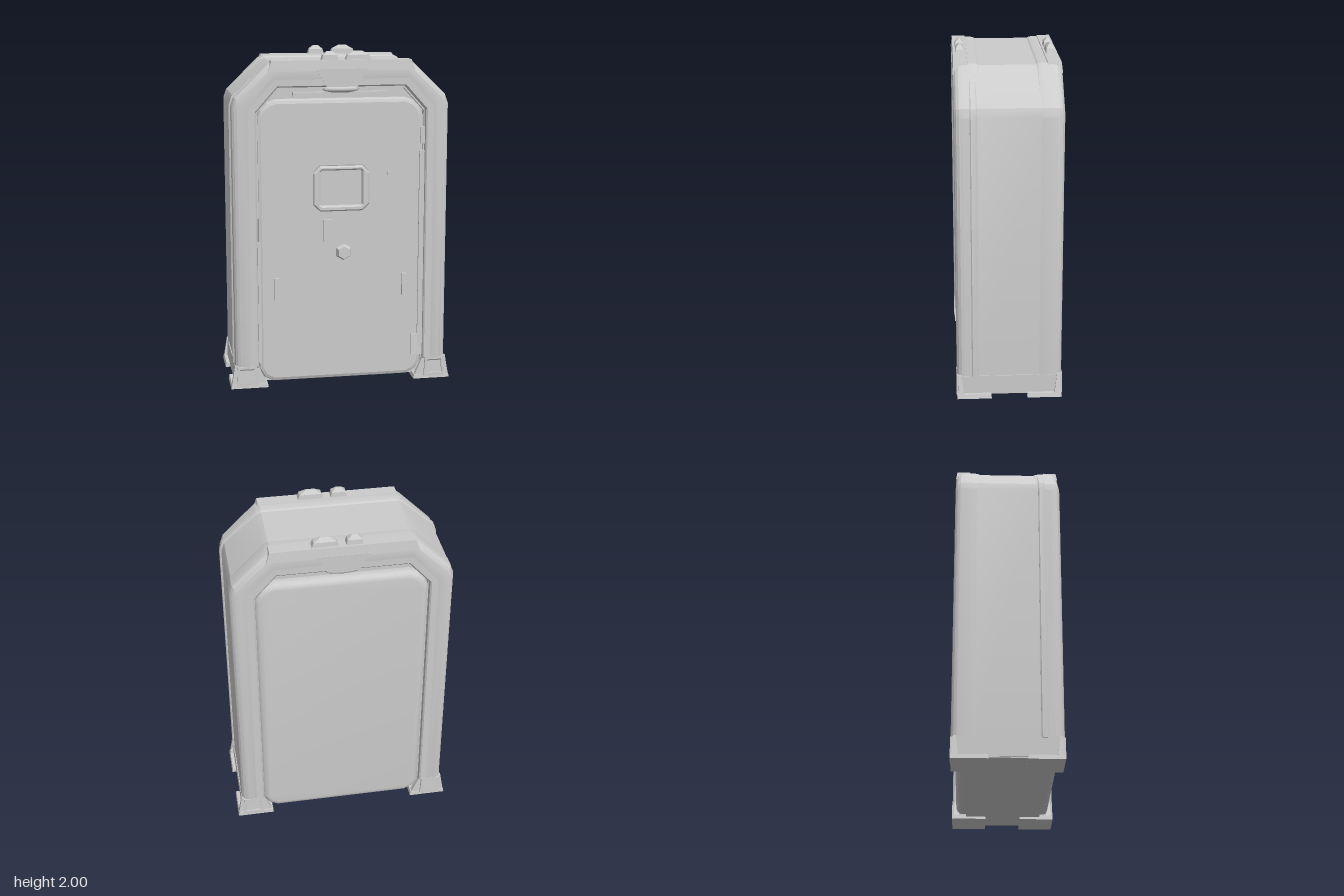
import * as THREE from 'three';
import { toCreasedNormals } from 'three/addons/utils/BufferGeometryUtils.js';

const grey = new THREE.MeshStandardMaterial({ color: 0xcccccc });

function add(parent, name, geometry, x = 0, y = 0, z = 0) {
  const mesh = new THREE.Mesh(geometry, grey);
  mesh.name = name;
  mesh.position.set(x, y, z);
  parent.add(mesh);
  return mesh;
}

const vectors = (pts) => pts.map(([x, y]) => new THREE.Vector2(x, y));

// Shape from an outline with an optional hole.
function toShape(pts, hole) {
  const shape = new THREE.Shape(vectors(pts));
  if (hole) shape.holes.push(new THREE.Path(vectors(hole)));
  return shape;
}

// Mirrors the +x half of an outline (listed bottom to top) into a closed loop.
const mirrored = (half) => [...half, ...half.slice().reverse().map(([x, y]) => [-x, y])];

// Band between two half outlines, open at the bottom.
const band = (outer, inner) => toShape([...mirrored(outer),
  ...inner.map(([x, y]) => [-x, y]), ...inner.slice().reverse()]);

// Rectangle with cut corners.
function cutRect(x0, y0, x1, y1, c) {
  return [[x0 + c, y0], [x1 - c, y0], [x1, y0 + c], [x1, y1 - c],
    [x1 - c, y1], [x0 + c, y1], [x0, y1 - c], [x0, y0 + c]];
}

// Extrudes from z0 to z1 including the bevel, keeping the outline size.
function slab(shape, z0, z1, bevel = 0, segments = 1) {
  const g = new THREE.ExtrudeGeometry(shape, {
    depth: z1 - z0 - 2 * bevel, bevelEnabled: bevel > 0, bevelSize: bevel,
    bevelThickness: bevel, bevelOffset: -bevel, bevelSegments: segments,
  });
  g.translate(0, 0, z0 + bevel);
  return toCreasedNormals(g, 0.35);
}

// Box running from a bottom rectangle to a top one, each [x0, x1, z0, z1].
function taperedBox(bottom, top, y0, y1) {
  const g = new THREE.BoxGeometry(1, 1, 1).toNonIndexed();
  const p = g.attributes.position;
  for (let i = 0; i < p.count; i++) {
    const up = p.getY(i) > 0, r = up ? top : bottom;
    p.setXYZ(i, p.getX(i) < 0 ? r[0] : r[1], up ? y1 : y0, p.getZ(i) < 0 ? r[2] : r[3]);
  }
  g.computeVertexNormals();
  return g;
}

// Outline of the cabinet with sloped shoulders.
const arch = (w, top, y0) => [[w, y0], [w, 1.69], [w - 0.018, 1.74], [0.43, top - 0.015], [0.4, top]];

// Door-sized panel with softened corners.
const panelOutline = (w, y0, y1) => mirrored([[w - 0.085, y0], [w - 0.03, y0 + 0.03], [w, y0 + 0.085],
  [w, y1 - 0.11], [w - 0.02, y1 - 0.06], [w - 0.06, y1 - 0.02], [w - 0.11, y1]]);

// Foot with a flared upright and a framed face.
function createFoot(s) {
  const foot = new THREE.Group();
  foot.name = s > 0 ? 'leftFoot' : 'rightFoot';
  const xs = (a, b) => (s > 0 ? [a, b] : [-b, -a]);
  add(foot, 'footPlate', taperedBox([...xs(0.445, 0.67), 0.105, 0.308], [...xs(0.45, 0.665), 0.107, 0.306], 0, 0.025));
  add(foot, 'footFlare', taperedBox([...xs(0.455, 0.665), 0.265, 0.3], [...xs(0.505, 0.645), 0.28, 0.296], 0.02, 0.138));
  const flip = (pts) => pts.map(([x, y]) => [x * s, y]);
  add(foot, 'footRim', slab(toShape(
    flip([[0.51, 0.015], [0.637, 0.015], [0.63, 0.135], [0.517, 0.135]]),
    flip([[0.525, 0.035], [0.622, 0.035], [0.617, 0.12], [0.53, 0.12]])), 0.28, 0.311));
  return foot;
}

// Frame, header, lamps and feet shared by the front and back.
function createEnd(name) {
  const end = new THREE.Group();
  end.name = name;

  // Arch frame with a broad rounded outer edge
  const inner = [[0.502, 0.125], [0.502, 1.655], [0.375, 1.797]];
  add(end, 'archFrame', slab(band(arch(0.642, 1.945, 0.09),
    [[0.503, 0.09], [0.503, 1.655], [0.375, 1.798]]), 0.14, 0.309, 0.05, 4));

  // Crisp trim and a thin liner along the opening
  add(end, 'frameTrim', slab(band([[0.57, 0.125], [0.57, 1.69], [0.41, 1.865]], inner), 0.2, 0.308, 0.008));
  add(end, 'frameLiner', slab(band([[0.512, 0.12], [0.512, 1.66], [0.385, 1.81]],
    [[0.497, 0.12], [0.497, 1.647], [0.375, 1.782]]), 0.2, 0.262));

  // Header cap and its wedge
  add(end, 'headerCap', taperedBox([-0.43, 0.43, 0.21, 0.31], [-0.41, 0.41, 0.225, 0.303], 1.89, 1.95));
  add(end, 'headerWedge', slab(toShape([[-0.09, 1.797], [0.09, 1.797], [0.15, 1.9], [-0.15, 1.9]]), 0.28, 0.312));

  // Lamp below the header
  const lamp = add(end, 'headerLamp', new THREE.SphereGeometry(1, 12, 6), 0, 1.78, 0.262);
  lamp.scale.set(0.11, 0.022, 0.035);

  // Faceted beacons on top
  for (const [x, w] of [[-0.067, 0.052], [0.1, 0.08]]) {
    const ring = (k, d) => [x - w * k, x + w * k, 0.263 - d, 0.263 + d];
    add(end, 'beaconBase', taperedBox(ring(1, 0.028), ring(0.8, 0.024), 1.935, 1.978));
    add(end, 'beaconCap', taperedBox(ring(0.8, 0.024), ring(0.3, 0.006), 1.978, 2));
  }

  end.add(createFoot(1), createFoot(-1));
  return end;
}

function createDoor() {
  const door = new THREE.Group();
  door.name = 'door';
  const face = 0.272;

  add(door, 'doorPanel', slab(toShape(panelOutline(0.496, 0.02, 1.725),
    cutRect(-0.14, 1.09, 0.14, 1.31, 0.02)), 0.19, face, 0.025, 2));
  add(door, 'lampRail', new THREE.BoxGeometry(0.56, 0.025, 0.05), 0, 1.75, 0.235);

  // Window
  add(door, 'windowRim', slab(toShape(cutRect(-0.167, 1.062, 0.167, 1.33, 0.04),
    cutRect(-0.125, 1.094, 0.125, 1.306, 0.008)), face - 0.03, face + 0.024, 0.008));
  add(door, 'windowPane', new THREE.BoxGeometry(0.28, 0.22, 0.02), 0, 1.2, face - 0.022);

  // Latch plate, knob and grips
  add(door, 'latchPlate', new THREE.BoxGeometry(0.052, 0.132, 0.03), -0.083, 0.945, face + 0.004);
  const knob = new THREE.CylinderGeometry(0.038, 0.052, 0.035, 6).toNonIndexed();
  knob.rotateX(Math.PI / 2);
  knob.computeVertexNormals();
  add(door, 'knob', knob, 0.015, 0.81, face + 0.014);
  for (const x of [-0.39, 0.385]) {
    add(door, 'grip', new THREE.BoxGeometry(0.028, 0.135, 0.025), x, 0.597, face + 0.006);
  }

  // Small fittings
  add(door, 'indicator', slab(toShape([[0.365, 1.435], [0.405, 1.42], [0.4, 1.46]]), face - 0.01, face + 0.012));
  add(door, 'stud', new THREE.BoxGeometry(0.02, 0.02, 0.02), 0.287, 1.277, face);

  // Hinge side and seal strips
  add(door, 'hingePost', new THREE.BoxGeometry(0.03, 1.26, 0.04), 0.486, 0.78, 0.265);
  add(door, 'upperHinge', new THREE.BoxGeometry(0.028, 0.1, 0.035), 0.49, 1.5, 0.265);
  add(door, 'lowerHinge', taperedBox([0.43, 0.5, 0.25, 0.288], [0.43, 0.49, 0.25, 0.28], 0.15, 0.28));
  add(door, 'sealStrip', new THREE.BoxGeometry(0.018, 0.74, 0.03), -0.49, 0.515, 0.27);
  add(door, 'sealStrip', new THREE.BoxGeometry(0.012, 0.6, 0.03), -0.498, 1.33, 0.265);
  return door;
}

export function createModel() {
  const model = new THREE.Group();
  model.name = 'cabinet';

  // Main body, with base skirts along both sides
  add(model, 'body', slab(toShape(mirrored(arch(0.639, 1.935, 0.015))), -0.225, 0.225));
  for (const s of [-1, 1]) {
    add(model, 'baseSkirt', new THREE.BoxGeometry(0.13, 0.115, 0.55), s * 0.579, 0.0775, 0);
  }

  // Rib running round the body behind the front frame
  add(model, 'rib', slab(toShape(mirrored(arch(0.651, 1.943, 0.13))), 0.18, 0.22, 0.006));

  const front = createEnd('frontEnd');
  const back = createEnd('backEnd');
  back.scale.z = -1;
  model.add(front, back, createDoor());

  // Plain rear panel with soft edges
  add(model, 'rearPanel', slab(toShape(panelOutline(0.502, 0.02, 1.725)), -0.284, -0.17, 0.04, 5));
  return model;
}
